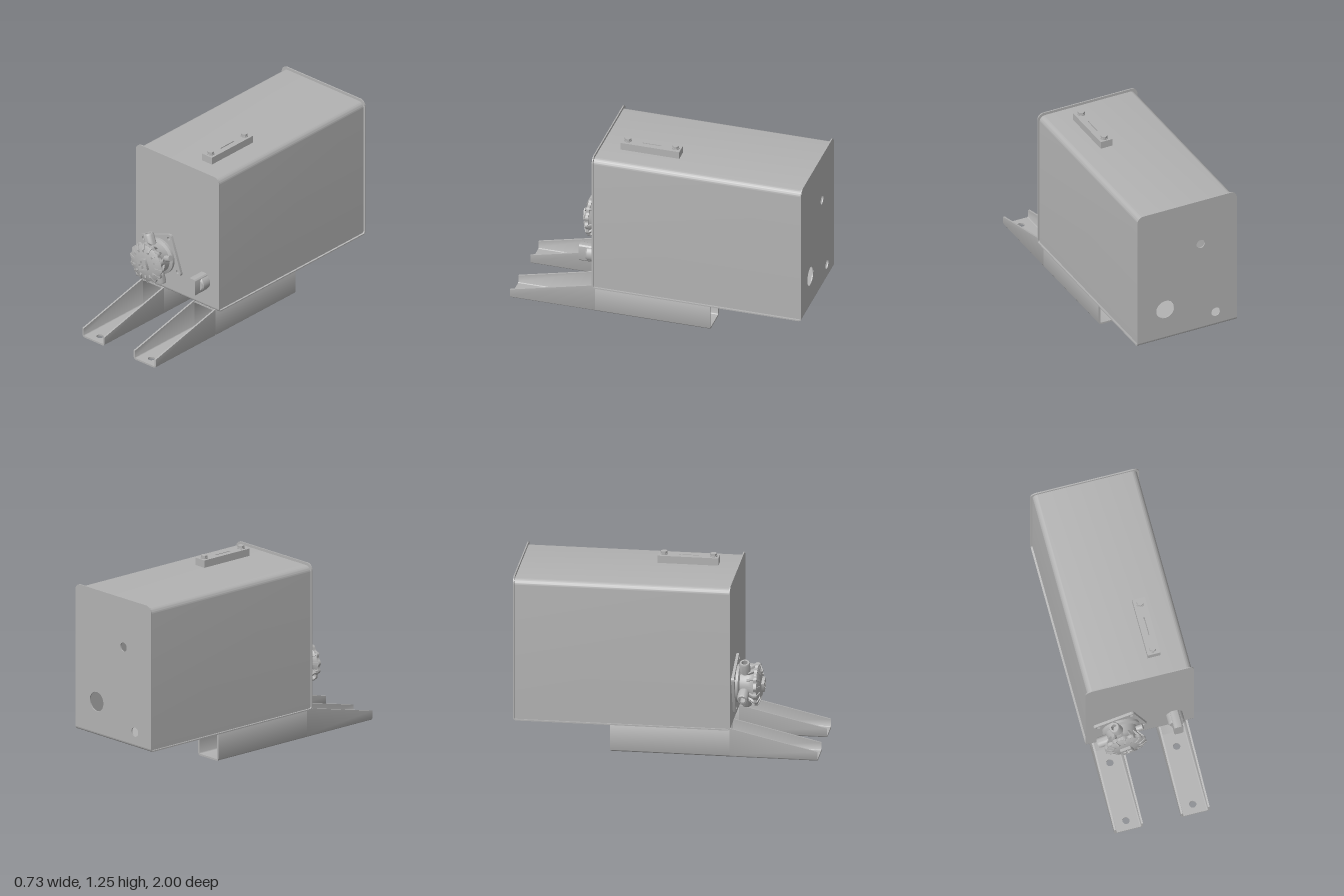
import * as THREE from 'three';
import { toCreasedNormals } from 'three/addons/utils/BufferGeometryUtils.js';

const grey = new THREE.MeshStandardMaterial({ color: 0xb2b2b2 });
grey.name = 'grey metal';

function mesh(parent, name, geo, x = 0, y = 0, z = 0) {
  const m = new THREE.Mesh(toCreasedNormals(geo, 0.6), grey);
  m.name = name;
  m.position.set(x, y, z);
  parent.add(m);
  return m;
}
const extrude = (shape, depth, curveSegments = 10) =>
  new THREE.ExtrudeGeometry(shape, { depth, bevelEnabled: false, curveSegments });
function circleHole(shape, x, y, r) {
  shape.holes.push(new THREE.Path().absarc(x, y, r, 0, Math.PI * 2, true));
}
function polygon(points) {
  return new THREE.Shape(points.map(([x, y]) => new THREE.Vector2(x, y)));
}
// rounded rectangle centred on x = 0, from y0 to y1
function roundRect(w, y0, y1, r, Type = THREE.Shape) {
  const h = w / 2, s = new Type();
  s.moveTo(-h + r, y0).lineTo(h - r, y0);
  s.absarc(h - r, y0 + r, r, -Math.PI / 2, 0).absarc(h - r, y1 - r, r, 0, Math.PI / 2);
  s.absarc(-h + r, y1 - r, r, Math.PI / 2, Math.PI).absarc(-h + r, y0 + r, r, Math.PI, Math.PI * 1.5);
  return s;
}
// shape with a square foot and two rounded upper corners
function arch(w, y0, y1, r) {
  const h = w / 2;
  return new THREE.Shape().moveTo(-h, y0).lineTo(h, y0).lineTo(h, y1 - r)
    .absarc(h - r, y1 - r, r, 0, Math.PI / 2).absarc(-h + r, y1 - r, r, Math.PI / 2, Math.PI);
}
// lathe whose axis points along +z
const latheZ = (pts, n = 40) =>
  new THREE.LatheGeometry(pts.map(([r, z]) => new THREE.Vector2(r, z)), n).rotateX(Math.PI / 2);

const PUMP = { x: -0.135, y: 0.45, tilt: 0.335 };

function buildTank(root) {
  const tank = new THREE.Group();
  tank.name = 'tank';
  root.add(tank);
  const t = 0.008;

  // folded shell: two sides and the top
  const shell = arch(0.704, 0.204, 1.175, 0.04);
  shell.holes.push(new THREE.Path(arch(0.704 - 2 * t, 0.209, 1.175 - t, 0.032).getPoints(10)));
  mesh(tank, 'shell', extrude(shell, 1.414), 0, 0, -0.992);

  // end plates
  const front = arch(0.73, 0.22, 1.193, 0.045);
  for (let i = 0; i < 4; i++) {
    const a = PUMP.tilt + Math.PI / 4 + i * Math.PI / 2;
    circleHole(front, PUMP.x + 0.166 * Math.cos(a), PUMP.y + 0.166 * Math.sin(a), 0.013);
  }
  mesh(tank, 'frontPlate', extrude(front, t), 0, 0, 0.43 - t);
  const back = arch(0.73, 0.22, 1.193, 0.045);
  circleHole(back, -0.1, 0.86, 0.031);
  circleHole(back, 0.16, 0.43, 0.066);
  circleHole(back, -0.21, 0.305, 0.032);
  mesh(tank, 'backPlate', extrude(back, t), 0, 0, -1);

  // floor bent up at both ends to meet the plates
  const R = 0.02, P = Math.PI;
  const floor = new THREE.Shape().moveTo(-0.43, 0.22)
    .absarc(-0.43 + R, 0.22, R, P, P * 1.5).absarc(1 - R, 0.22, R, P * 1.5, P * 2)
    .lineTo(1 - t, 0.22)
    .absarc(1 - R, 0.22, R - t, 0, -P / 2, true).absarc(-0.43 + R, 0.22, R - t, -P / 2, -P, true);
  mesh(tank, 'floor', extrude(floor, 0.73).rotateY(P / 2), -0.365, 0, 0);
}

function buildTopBar(root) {
  const bar = new THREE.Group();
  bar.name = 'topBar';
  bar.position.set(0.133, 1.174, 0.09);
  root.add(bar);
  const block = polygon([[-0.043, -0.2], [0.043, -0.2], [0.043, 0.2], [-0.043, 0.2]]);
  block.holes.push(new THREE.Path(
    [[-0.004, -0.065], [-0.004, 0.065], [0.004, 0.065], [0.004, -0.065]].map(p => new THREE.Vector2(...p))));
  mesh(bar, 'barBlock', extrude(block, 0.051).rotateX(-Math.PI / 2));
  for (const z of [-0.163, 0.163]) {
    mesh(bar, 'boltWasher', new THREE.CylinderGeometry(0.025, 0.025, 0.006, 24), 0, 0.054, z);
    mesh(bar, 'boltHead', new THREE.CylinderGeometry(0.023, 0.023, 0.02, 6), 0, 0.062, z);
  }
}

// square tube whose front end is cut open on a slope
function buildLeg(root, x, name) {
  const leg = new THREE.Group();
  leg.name = name;
  leg.position.x = x;
  root.add(leg);
  const h = 0.0975, t = 0.012, R = 0.02, cut = 0.42;

  const tube = roundRect(2 * h, 0, 0.2, R);
  tube.holes.push(roundRect(2 * h - 2 * t, t, 0.2 - t, R - t, THREE.Path));
  mesh(leg, 'tube', extrude(tube, cut + 0.365, 6), 0, 0, -0.365);

  for (const s of [1, -1]) {
    const pts = [[h, 0.2], [h - t, 0.2]];
    for (let i = 0; i <= 4; i++) {
      const a = -i * Math.PI / 8;
      pts.push([h - R + (R - t) * Math.cos(a), R + (R - t) * Math.sin(a)]);
    }
    for (let i = 4; i >= 0; i--) {
      const a = -i * Math.PI / 8;
      pts.push([h - R + R * Math.cos(a), R + R * Math.sin(a)]);
    }
    const wall = extrude(polygon(pts.map(([px, py]) => [s * px, py])), 1 - cut);
    const p = wall.attributes.position;
    for (let i = 0; i < p.count; i++) {
      if (p.getZ(i) > 0.1 && p.getY(i) > 0.1) p.setY(i, 0.065);
    }
    mesh(leg, 'slopedWall', wall, 0, 0, cut);
  }

  const w = h - R;
  const base = polygon([[-w, -1], [w, -1], [w, -cut], [-w, -cut]]);
  circleHole(base, 0, -0.935, 0.024);
  circleHole(base, 0, -0.52, 0.024);
  mesh(leg, 'footPlate', extrude(base, t).rotateX(-Math.PI / 2));
}

function buildPump(root) {
  const pump = new THREE.Group();
  pump.name = 'valve';
  pump.position.set(PUMP.x, PUMP.y, 0.43);
  pump.rotation.z = PUMP.tilt;
  root.add(pump);

  // square mounting flange with a raised inner step
  const flange = roundRect(0.29, -0.145, 0.145, 0.02);
  for (const sx of [-1, 1]) for (const sy of [-1, 1]) circleHole(flange, sx * 0.117, sy * 0.117, 0.013);
  mesh(pump, 'flange', extrude(flange, 0.018));

  // housing flaring out to the cap
  mesh(pump, 'housing', latheZ([[0.125, 0.012], [0.125, 0.035], [0.105, 0.045], [0.1, 0.1], [0.112, 0.125], [0.128, 0.142]]));

  // three hollow side ports and one small plug
  for (let i = 1; i <= 3; i++) {
    const port = new THREE.Group();
    port.name = 'port';
    port.rotation.z = i * Math.PI / 2 - Math.PI / 2;
    pump.add(port);
    mesh(port, 'portTube', new THREE.LatheGeometry(
      [[0.036, 0.06], [0.036, 0.165], [0.031, 0.175], [0.02, 0.175], [0.02, 0.13], [0, 0.13]]
        .map(p => new THREE.Vector2(...p)), 24), 0, 0, 0.072);
  }
  mesh(pump, 'sidePlug', new THREE.CylinderGeometry(0.02, 0.02, 0.06, 16).rotateZ(Math.PI / 2), 0.115, 0, 0.07);

  // scalloped cap rim
  const N = 14, rim = [];
  for (let i = 0; i < N * 8; i++) {
    const a = i / (N * 8) * Math.PI * 2;
    const r = 0.135 + 0.007 * Math.cos(a * N);
    rim.push([r * Math.cos(a), r * Math.sin(a)]);
  }
  mesh(pump, 'capRim', extrude(polygon(rim), 0.02), 0, 0, 0.138);
  mesh(pump, 'capDome', latheZ([[0.132, 0.156], [0.115, 0.166], [0.08, 0.175], [0.05, 0.18], [0, 0.181]]));

  // ribs running over the dome edge and down the housing
  const rib = polygon([[0.07, 0.172], [0.1, 0.178], [0.138, 0.16], [0.14, 0.138], [0.105, 0.09], [0.07, 0.09]]);
  for (let i = 0; i < N; i++) {
    const geo = extrude(rib, 0.014).translate(0, 0, -0.007).rotateX(Math.PI / 2);
    mesh(pump, 'capRib', geo).rotation.z = i / N * Math.PI * 2;
  }

  // square boss with a cross-shaped socket
  const boss = roundRect(0.076, -0.038, 0.038, 0.004);
  const a = 0.009, b = 0.03;
  boss.holes.push(new THREE.Path([[a, b], [a, a], [b, a], [b, -a], [a, -a], [a, -b], [-a, -b], [-a, -a],
    [-b, -a], [-b, a], [-a, a], [-a, b]].map(p => new THREE.Vector2(...p))));
  mesh(pump, 'crossBoss', extrude(boss, 0.024), 0, 0, 0.175);
}

function buildKnob(root) {
  const knob = new THREE.Group();
  knob.name = 'knob';
  knob.position.set(0.232, 0.39, 0.43);
  root.add(knob);
  mesh(knob, 'knobBase', latheZ([[0.055, 0], [0.055, 0.06], [0.047, 0.07], [0, 0.07]], 32));
  // grip with rounded ends
  const grip = roundRect(0.06, -0.06, 0.06, 0.015);
  mesh(knob, 'knobGrip', extrude(grip, 0.12));
}

export function createModel() {
  const root = new THREE.Group();
  root.name = 'tankUnit';
  buildTank(root);
  buildTopBar(root);
  buildLeg(root, 0.225, 'leftLeg');
  buildLeg(root, -0.225, 'rightLeg');
  buildPump(root);
  buildKnob(root);
  return root;
}
